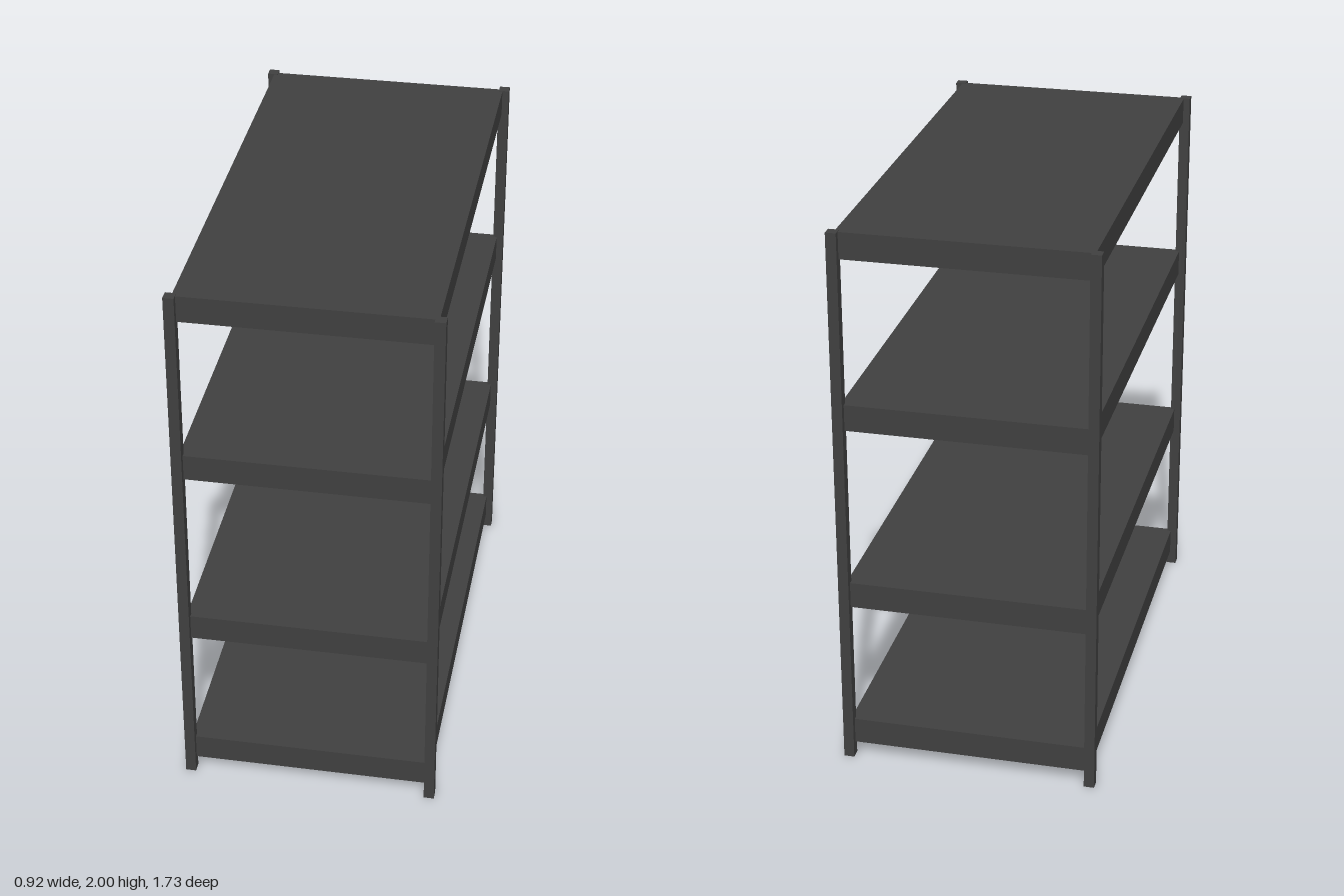
import * as THREE from 'three';

export function createModel() {
  const group = new THREE.Group();
  const metal = new THREE.MeshStandardMaterial({ color: 0x404040 });
  metal.name = 'charcoal metal';

  const addBox = (name, w, h, d, x, y, z) => {
    const mesh = new THREE.Mesh(new THREE.BoxGeometry(w, h, d), metal);
    mesh.name = name;
    mesh.position.set(x, y, z);
    group.add(mesh);
  };

  // Four square corner posts
  const post = 0.037;
  for (const [xName, sx] of [['Left', 1], ['Right', -1]]) {
    for (const [zName, sz] of [['front', 1], ['back', -1]]) {
      addBox(`${zName}${xName}Post`, post, 2, post, sx * 0.439, 1, sz * 0.848);
    }
  }

  // Four deep shelves, their edges running between the post centres
  const shelfHeight = 0.095;
  [0.147, 0.7, 1.38, 1.998].forEach((top, i) => {
    addBox(`shelf${i + 1}`, 0.868, shelfHeight, 1.692, 0, top - shelfHeight / 2, 0);
  });

  return group;
}
